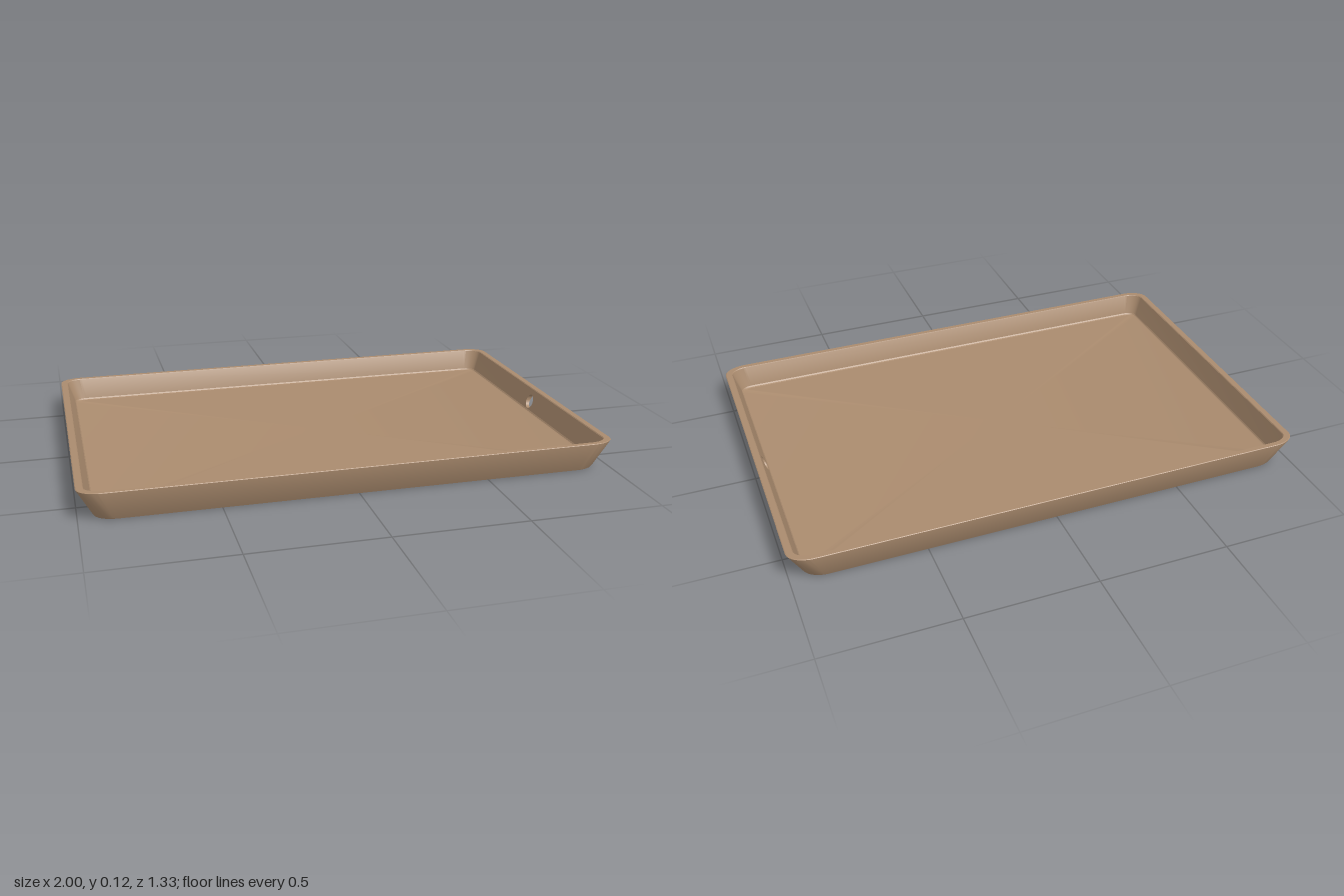
import * as THREE from 'three';
import { toCreasedNormals } from 'three/addons/utils/BufferGeometryUtils.js';

const CORNER_STEPS = 8;
const HOLE = { y: 0.063, r: 0.028, steps: 32 };

// Wall profile from underside, up the outside, over the rim, down to the floor:
// half width, half depth, height, corner radius in x and in z
const PROFILE = [
  [0.936, 0.626, 0.0, 0.075, 0.05],
  [0.942, 0.631, 0.002, 0.08, 0.054],
  [0.946, 0.634, 0.007, 0.083, 0.056],
  [0.999, 0.665, 0.112, 0.09, 0.06],
  [1.0, 0.665, 0.114, 0.09, 0.06],
  [0.997, 0.663, 0.116, 0.088, 0.059],
  [0.975, 0.645, 0.116, 0.068, 0.046],
  [0.972, 0.643, 0.113, 0.066, 0.044],
  [0.945, 0.623, 0.032, 0.05, 0.034],
  [0.941, 0.619, 0.027, 0.046, 0.031],
  [0.935, 0.614, 0.025, 0.04, 0.027],
];
const OUTER_WALL = 2;
const INNER_WALL = 7;

// Rounded rectangle loop, running from the +x side towards +z
function ring([a, b, y, rx, rz]) {
  const pts = [];
  for (let q = 0; q < 4; q++) {
    const sx = q === 0 || q === 3 ? 1 : -1;
    const sz = q < 2 ? 1 : -1;
    for (let i = 0; i <= CORNER_STEPS; i++) {
      const t = (q + i / CORNER_STEPS) * Math.PI / 2;
      pts.push(new THREE.Vector3(
        sx * (a - rx) + rx * Math.cos(t), y, sz * (b - rz) + rz * Math.sin(t)));
    }
  }
  return pts;
}

// Circle of the drilled hole, laid on the sloping wall above profile point k
function holeLoop(k) {
  const [a0, , y0] = PROFILE[k];
  const [a1, , y1] = PROFILE[k + 1];
  return Array.from({ length: HOLE.steps }, (_, i) => {
    const t = i / HOLE.steps * Math.PI * 2;
    const y = HOLE.y + HOLE.r * Math.sin(t);
    return new THREE.Vector3(a0 + (a1 - a0) * (y - y0) / (y1 - y0), y, HOLE.r * Math.cos(t));
  });
}

function buildGeometry(fill) {
  const positions = [];
  const tri = (...pts) => pts.forEach((p) => positions.push(p.x, p.y, p.z));
  fill(tri);
  const geometry = new THREE.BufferGeometry();
  geometry.setAttribute('position', new THREE.Float32BufferAttribute(positions, 3));
  return toCreasedNormals(geometry, 0.35);
}

export function createModel() {
  const group = new THREE.Group();
  group.name = 'tray';
  const brown = new THREE.MeshStandardMaterial({ name: 'warmBrown', color: 0xaa8b6e });
  const add = (name, fill) => {
    const mesh = new THREE.Mesh(buildGeometry(fill), brown);
    mesh.name = name;
    group.add(mesh);
  };

  const rings = PROFILE.map(ring);
  const n = rings[0].length;
  const outerHole = holeLoop(OUTER_WALL);
  const innerHole = holeLoop(INNER_WALL);

  // Flat stretch of the +x wall with the hole cut out
  function drilledPanel(tri, k, hole, facing) {
    const outline = [rings[k][n - 1], rings[k][0], rings[k + 1][0], rings[k + 1][n - 1]];
    const flat = (pts) => pts.map((p) => new THREE.Vector2(p.z, p.y));
    const all = [...outline, ...hole];
    for (const f of THREE.ShapeUtils.triangulateShape(flat(outline), [flat(hole)])) {
      const [p, q, r] = f.map((i) => all[i]);
      const turn = (q.z - p.z) * (r.y - p.y) - (q.y - p.y) * (r.z - p.z);
      if (turn * facing < 0) tri(p, q, r);
      else tri(p, r, q);
    }
  }

  // Shell: sloping walls, rounded rim and both sides of the base
  add('trayBody', (tri) => {
    for (let k = 0; k < rings.length - 1; k++) {
      const drilled = k === OUTER_WALL || k === INNER_WALL;
      for (let i = 0; i < n; i++) {
        if (drilled && i === n - 1) continue;
        const j = (i + 1) % n;
        tri(rings[k][i], rings[k + 1][i], rings[k + 1][j]);
        tri(rings[k][i], rings[k + 1][j], rings[k][j]);
      }
    }
    drilledPanel(tri, OUTER_WALL, outerHole, 1);
    drilledPanel(tri, INNER_WALL, innerHole, -1);

    const bottom = rings[0];
    const floor = rings[rings.length - 1];
    const under = new THREE.Vector3(0, bottom[0].y, 0);
    const over = new THREE.Vector3(0, floor[0].y, 0);
    for (let i = 0; i < n; i++) {
      const j = (i + 1) % n;
      tri(under, bottom[i], bottom[j]);
      tri(over, floor[j], floor[i]);
    }
  });

  // Round lining of the hole through the wall
  add('holeLining', (tri) => {
    for (let i = 0; i < HOLE.steps; i++) {
      const j = (i + 1) % HOLE.steps;
      tri(outerHole[i], innerHole[i], outerHole[j]);
      tri(outerHole[j], innerHole[i], innerHole[j]);
    }
  });

  return group;
}
